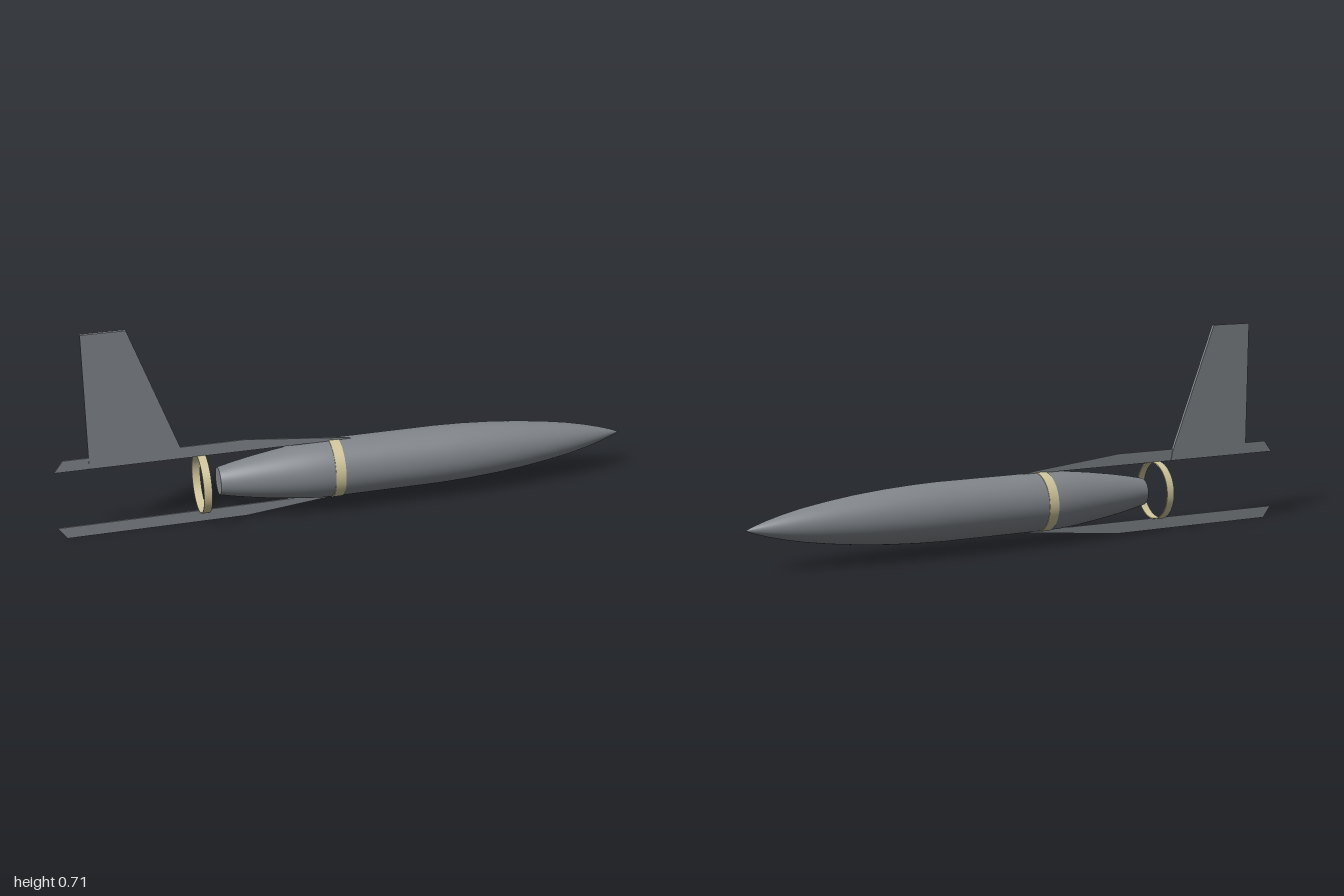
import * as THREE from 'three';

const AXIS = 0.142; // height of the body axis

export function createModel() {
  const model = new THREE.Group();
  const grey = new THREE.MeshStandardMaterial({ color: 0x81868b });
  grey.name = 'metal grey';
  const cream = new THREE.MeshStandardMaterial({ color: 0xd2c89e });
  cream.name = 'band cream';

  const add = (name, geometry, material) => {
    const mesh = new THREE.Mesh(geometry, material);
    mesh.name = name;
    model.add(mesh);
    return mesh;
  };
  // turn [x, radius] pairs into a solid of revolution along x
  const turned = (points) => new THREE.LatheGeometry(
    points.map(([x, r]) => new THREE.Vector2(r, x)), 64
  ).rotateZ(-Math.PI / 2).translate(0, AXIS, 0);
  // flat plate in the xy plane, centred on z = 0
  const plate = (points, thickness) => new THREE.ExtrudeGeometry(
    new THREE.Shape(points.map(([x, y]) => new THREE.Vector2(x, y))),
    { depth: thickness, bevelEnabled: false }
  ).translate(0, 0, -thickness / 2);

  // spindle body with a long pointed nose and tapered tail
  add('body', turned([
    [-0.455, 0.047], [-0.4, 0.059], [-0.33, 0.072], [-0.25, 0.084], [-0.18, 0.093],
    [-0.11, 0.099], [-0.05, 0.1], [0.1, 0.1], [0.32, 0.1], [0.42, 0.097],
    [0.52, 0.091], [0.62, 0.082], [0.72, 0.069], [0.8, 0.056], [0.87, 0.041],
    [0.93, 0.025], [0.97, 0.012], [1, 0],
  ]), grey);
  add('tailCap', new THREE.CircleGeometry(0.047, 64)
    .rotateY(-Math.PI / 2).translate(-0.455, AXIS, 0), grey);

  // band around the body and open ring behind the tail
  for (const [name, a, b] of [['bodyBand', -0.071, -0.036], ['tailRing', -0.525, -0.497]]) {
    const inner = 0.0985, outer = 0.102;
    // each side is its own strip, which keeps the rims sharp
    add(name + 'Outer', turned([[a, outer], [b, outer]]), cream);
    add(name + 'Inner', turned([[b, inner], [a, inner]]), cream);
    add(name + 'Rear', turned([[a, inner], [a, outer]]), cream);
    add(name + 'Front', turned([[b, outer], [b, inner]]), cream);
  }

  // thin boom rails above and below, mirrored about the axis
  for (const [name, s] of [['upperRail', 1], ['lowerRail', -1]]) {
    add(name, plate([
      [-1, AXIS + s * 0.101], [0.02, AXIS + s * 0.099],
      [-0.03, AXIS + s * 0.107], [-0.36, AXIS + s * 0.141], [-0.97, AXIS + s * 0.141],
    ], 0.006), grey);
  }

  // upright swept tail fin
  add('tailFin', plate([
    [-0.885, 0.245], [-0.572, 0.245], [-0.577, 0.275], [-0.742, 0.714], [-0.89, 0.714],
  ], 0.012), grey);

  return model;
}
